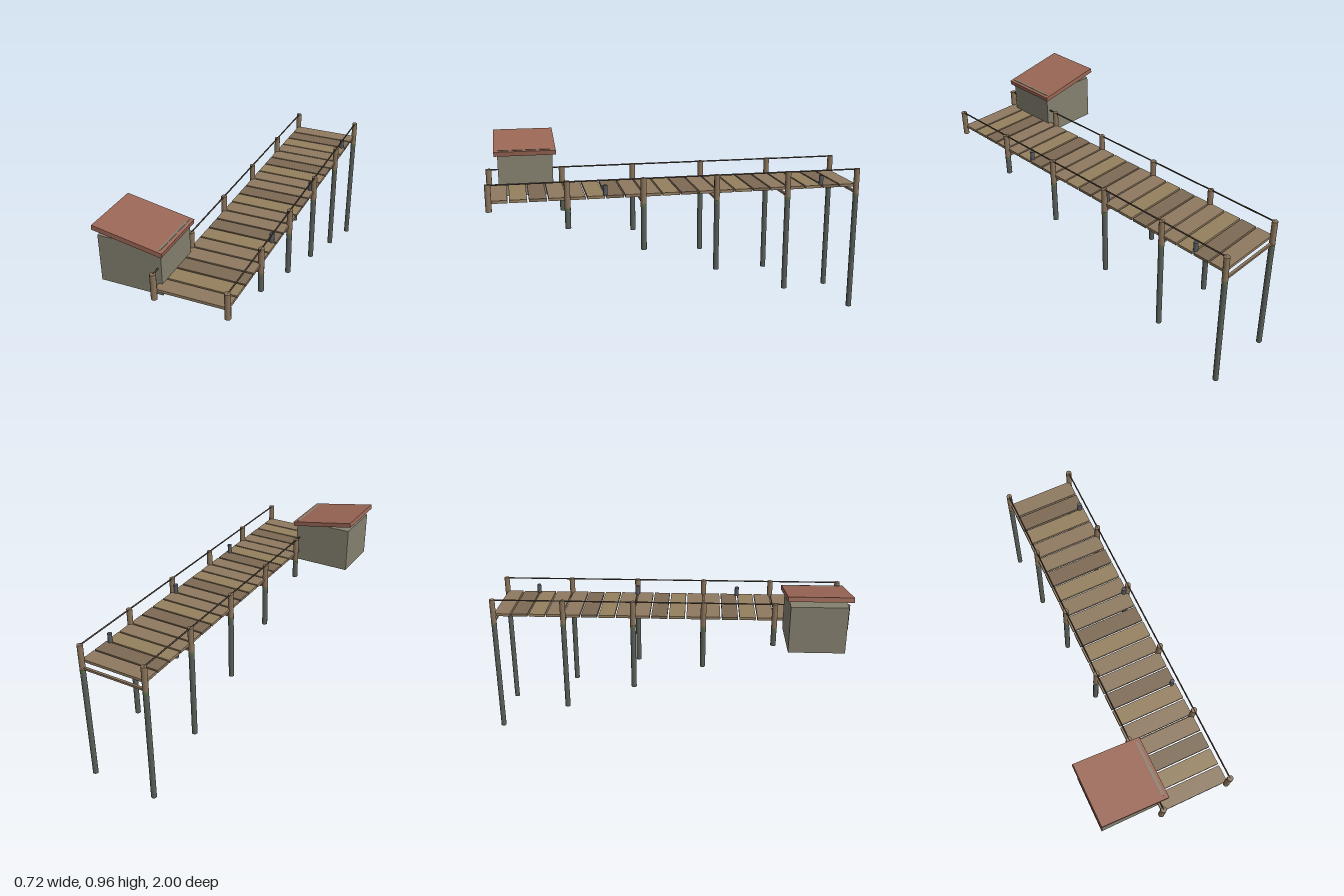
import * as THREE from 'three';

const paint = (color) => new THREE.MeshStandardMaterial({ color });

export function createModel() {
  const pier = new THREE.Group();
  pier.name = 'pier';

  const wood = paint(0x8a735a);
  const planks = [paint(0x8f7a60), paint(0x7d6a54), paint(0x95805f)];
  const wet = paint(0x5a5f58);
  const algae = paint(0x5f6b4a);
  const dark = paint(0x4a3d32);
  const metal = paint(0x565a60);

  const add = (name, geometry, material, x, y, z) => {
    const mesh = new THREE.Mesh(geometry, material);
    mesh.name = name;
    mesh.position.set(x, y, z);
    pier.add(mesh);
    return mesh;
  };
  // Upright cylinder spanning two heights
  const upright = (name, r, bottom, top, material, x, z) =>
    add(name, new THREE.CylinderGeometry(r, r, top - bottom, 12), material, x, (top + bottom) / 2, z);

  const left = 0.345, right = -0.03, middle = (left + right) / 2;
  const end = 0.985, bay = (2 * end) / 5;

  // Posts get longer towards the back as the bed falls away
  for (let i = 0; i < 6; i++) {
    const z = end - i * bay;
    const foot = 0.69 - i * 0.138;
    for (const x of [right, left]) {
      upright('postTop', 0.0155, 0.66, 0.8, wood, x, z);
      if (i > 0) {
        upright('algaeBand', 0.0158, 0.645, 0.662, algae, x, z);
        upright('postFoot', 0.015, foot, 0.65, wet, x, z);
      }
    }
    // Cross beam under the deck
    if (i > 0) add('crossBeam', new THREE.BoxGeometry(left - right, 0.012, 0.014), wood, middle, 0.668, z);
  }

  // Deck planks, four to a bay
  const pitch = (2 * end) / 20;
  const plankGeometry = new THREE.BoxGeometry(left - right, 0.015, pitch - 0.009);
  for (let i = 0; i < 20; i++) {
    add('plank', plankGeometry, planks[(i * 2 + (i >> 2)) % 3], middle, 0.708, end - (i + 0.5) * pitch);
  }

  // Hand rails along both sides
  for (const x of [right, left]) {
    const rail = add('handRail', new THREE.CylinderGeometry(0.004, 0.004, 2 * end, 8), dark, x, 0.797, 0);
    rail.rotation.x = Math.PI / 2;
  }

  // Mooring bollards on the left edge
  for (const z of [0.394, -0.197, -0.788]) upright('bollard', 0.012, 0.714, 0.766, metal, 0.323, z);

  // Hut with a sloping slab roof
  add('hutWalls', new THREE.BoxGeometry(0.332, 0.253, 0.295), paint(0x84806f), -0.177, 0.777, 0.787);
  const roof = add('hutRoof', new THREE.BoxGeometry(0.37, 0.025, 0.333), paint(0x9a6655), -0.178, 0.919, 0.787);
  roof.rotation.z = -0.18;

  return pier;
}
